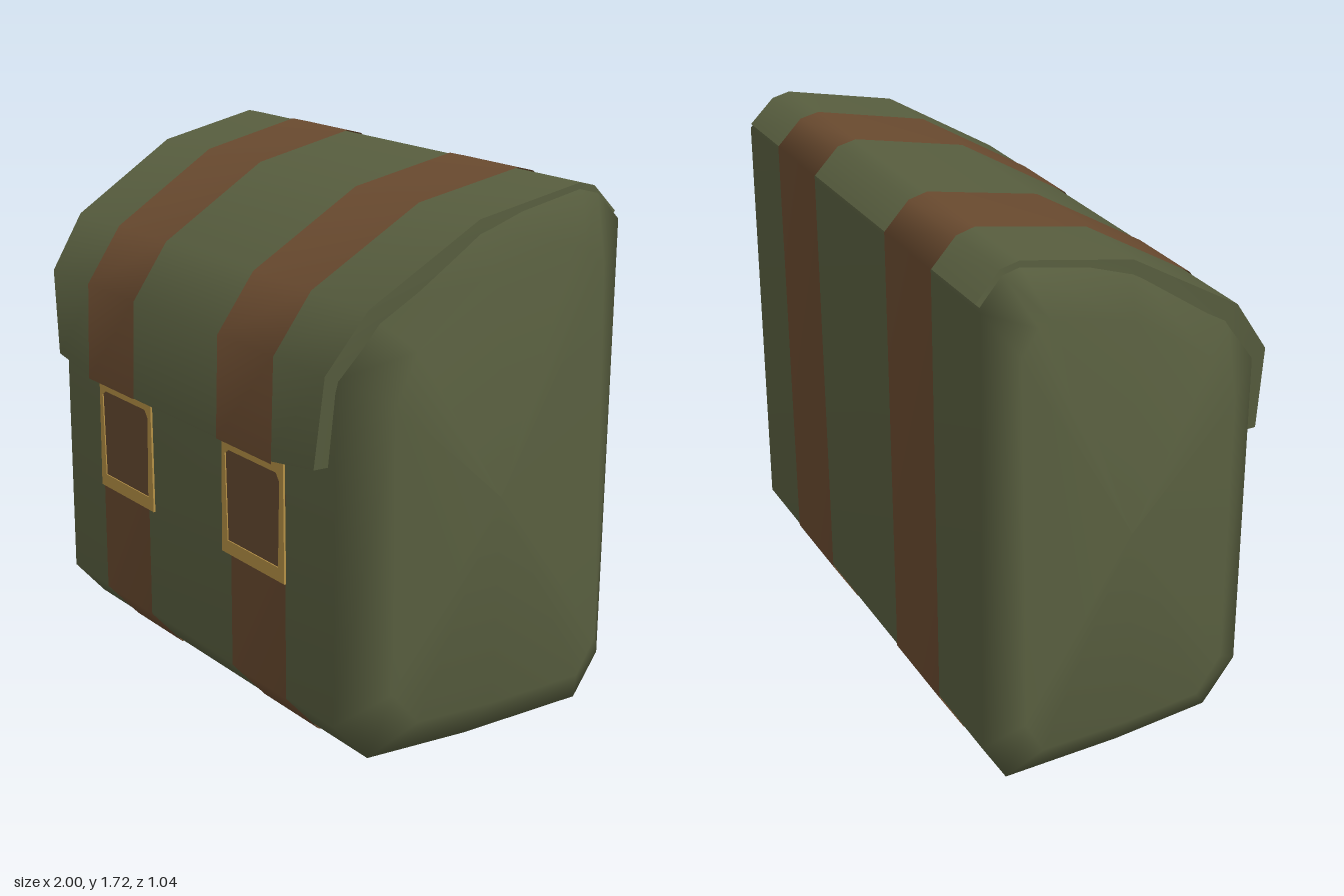
import * as THREE from 'three';
import { toCreasedNormals } from 'three/addons/utils/BufferGeometryUtils.js';

const material = (name, color) => {
  const m = new THREE.MeshStandardMaterial({ color });
  m.name = name;
  return m;
};

// Skin a grid of [x, y, z] points; rows run along +x, columns anticlockwise seen from +x
function skin(rows, closed = false) {
  const n = rows[0].length, index = [];
  for (let i = 0; i < rows.length - 1; i++) {
    for (let j = 0; j < (closed ? n : n - 1); j++) {
      const k = (j + 1) % n;
      const a = i * n + j, b = i * n + k, c = (i + 1) * n + j, d = (i + 1) * n + k;
      index.push(a, b, c, b, d, c);
    }
  }
  const g = new THREE.BufferGeometry();
  g.setAttribute('position', new THREE.Float32BufferAttribute(rows.flat(2), 3));
  g.setIndex(index);
  g.computeVertexNormals();
  return g;
}

// Offset a [z, y] path outward with mitred corners
function offset(path, dist) {
  const normal = (a, b) => {
    const l = Math.hypot(b[0] - a[0], b[1] - a[1]);
    return [-(b[1] - a[1]) / l, (b[0] - a[0]) / l];
  };
  return path.map((p, i) => {
    const n0 = normal(path[Math.max(i - 1, 0)], path[Math.max(i, 1)]);
    const last = path.length - 1;
    const n1 = normal(path[Math.min(i, last - 1)], path[Math.min(i + 1, last)]);
    const s = dist / (1 + n0[0] * n1[0] + n0[1] * n1[1]);
    return [p[0] + (n0[0] + n1[0]) * s, p[1] + (n0[1] + n1[1]) * s];
  });
}

export function createModel() {
  const canvas = material('olive canvas', 0x585e3f);
  const leather = material('brown leather', 0x694a2f);
  const patchLeather = material('dark leather', 0x654a30);
  const brass = material('brass', 0xb48f45);
  leather.side = THREE.DoubleSide;
  const model = new THREE.Group();
  model.name = 'satchel';
  const add = (name, geometry, mat, parent = model) => {
    const mesh = new THREE.Mesh(geometry, mat);
    mesh.name = name;
    parent.add(mesh);
    return mesh;
  };

  // Body: side profile as [z, y], lofted across the width with bevelled ends
  const lower = [[0.47, 0.14], [0.35, 0.005], [0, 0.005], [-0.42, 0.03], [-0.505, 0.17]];
  const profile = [...lower, [-0.505, 1.6], [-0.425, 1.685], [-0.37, 1.7],
    [0, 1.625], [0.36, 1.405], [0.468, 1.23]];
  const edge = s => profile.map(([z, y]) => [s * (0.85 - 0.12 * z), y, z]);
  const side = s => profile.map(([z, y]) => {
    const zz = z * 0.76 - 0.02, yy = 0.14 + y * 0.83;
    return [s * (0.952 - 0.12 * zz - 0.119 * Math.max(0, yy - 1.15)), yy, zz];
  });
  const cap = s => profile.map(() => [s * 0.955, 0.82, -0.03]);
  add('body', skin([cap(-1), side(-1), edge(-1), edge(1), side(1), cap(1)], true), canvas);

  // Flap: curved shell from the back over the top, hanging in front
  const flapPath = [[-0.51, 1.62], [-0.43, 1.705], [-0.37, 1.72], [0, 1.65],
    [0.38, 1.43], [0.51, 1.25], [0.52, 0.92]];
  const widths = [0.89, 0.88, 0.88, 0.86, 0.83, 0.8, 0.76];
  const inner = offset(flapPath, -0.06);
  const flapRow = (s, half, path) => {
    const row = path.map(([z, y], i) => {
      const hem = half === null && i === path.length - 1 ? 0.04 : 0;
      return [s * (half ?? widths[i]), y + hem, z];
    });
    const end = row[row.length - 1];
    return [...row, [end[0], end[1], 0.45]];
  };
  const flap = skin([
    flapRow(-1, null, inner), flapRow(-1, null, flapPath), flapRow(-1, 0.5, flapPath),
    flapRow(1, 0.5, flapPath), flapRow(1, null, flapPath), flapRow(1, null, inner),
  ]);
  add('flap', toCreasedNormals(flap, 1.1), canvas);

  // Straps: thin ribbons wrapped around the body and over the flap
  const strapPath = offset([[0.47, 0.97], ...lower, ...flapPath], 0.004);
  for (const s of [-1, 1]) {
    const name = s > 0 ? 'left' : 'right';
    const inside = strapPath.map(([z, y]) => [s * (0.265 - 0.03 * z), y, z]);
    const outside = strapPath.map(([z, y]) => [s * (0.58 - 0.06 * z), y, z]);
    add(name + 'Strap', skin(s > 0 ? [inside, outside] : [outside, inside]), leather);

    // Buckle: brass frame around a leather patch
    const buckle = new THREE.Group();
    buckle.name = name + 'Buckle';
    buckle.position.set(s * 0.383, 0.72, 0.475);
    const frame = new THREE.Shape([[-0.173, -0.195], [0.173, -0.195], [0.168, 0.195], [-0.168, 0.195]]
      .map(p => new THREE.Vector2(...p)));
    frame.holes.push(new THREE.Path([[-0.14, -0.15], [-0.15, 0.14], [-0.13, 0.155], [0.13, 0.155],
      [0.148, 0.13], [0.14, -0.15]].map(p => new THREE.Vector2(...p))));
    add('buckleFrame', new THREE.ExtrudeGeometry(frame, { depth: 0.007, bevelEnabled: false }), brass, buckle);
    add('bucklePatch', new THREE.BoxGeometry(0.31, 0.33, 0.006), patchLeather, buckle);
    model.add(buckle);
  }
  return model;
}
